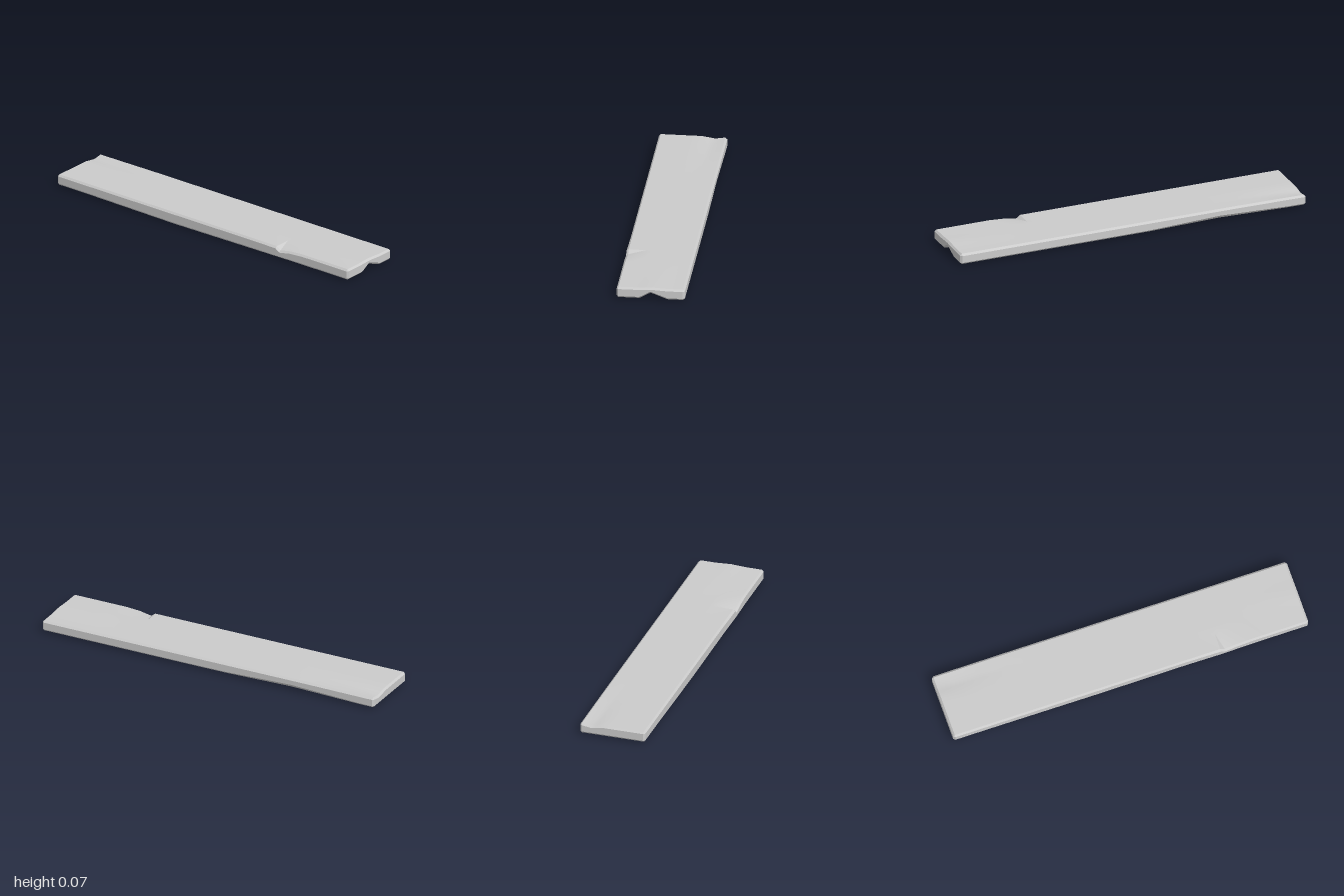
import * as THREE from 'three';
import { toCreasedNormals } from 'three/addons/utils/BufferGeometryUtils.js';

const { lerp, clamp } = THREE.MathUtils;
const tent = (v, lo, mid, hi) => Math.max(0, v < mid ? (v - lo) / (mid - lo) : (hi - v) / (hi - mid));

const CHAMFER = 0.01, EDGE = 0.173;
const stations = [-0.99, -0.9, -0.75, -0.6, -0.5, -0.35, -0.2, -0.1, 0.1, 0.3, 0.42, 0.505, 0.53, 0.6, 0.68, 0.75, 0.87, 0.99];
const topColumns = [-EDGE, -0.08, -0.045, 0, 0.05, 0.09, 0.12, EDGE];

// Wear along the plank, as height or width offsets
const edgeNick = z => z < 0.53 ? 0.018 * tent(z, 0.505, 0.53, 0.56) : 0.018 * Math.max(0, (0.68 - z) / 0.15) ** 2;
const sideWear = z => tent(z, -0.92, -0.5, -0.08);

function topHeight(x, z) {
  const swell = 0.005 * tent(x, -0.09, 0, 0.09) * clamp((z - 0.72) / 0.27, 0, 1);
  const endDip = 0.011 * tent(x, 0.05, 0.12, EDGE + 0.015) * clamp((-0.6 - z) / 0.39, 0, 1);
  const nick = edgeNick(z) * clamp((-0.08 - x) / 0.093, 0, 1);
  return 0.067 + swell - endDip - nick;
}

// Bottom edge points; the middle three form a groove that opens to the front
function bottomPoints(z) {
  const t = clamp((z - 0.3) / 0.69, 0, 1);
  const sag = 0.007 * tent(z, -0.8, -0.2, 0.6);
  const wear = 0.01 * sideWear(z);
  return [
    [-EDGE, 0.007 - sag], [-0.1, 0.007 - sag * 0.35],
    [lerp(0.005, -0.06, t), 0.007], [lerp(0.015, 0, t), 0.007 + 0.034 * t], [lerp(0.025, 0.09, t), 0.007],
    [0.105, 0.007], [0.135, 0.007 + wear * 0.3], [EDGE, 0.007 + wear],
  ];
}

// One closed cross-section: bottom, right side, top, left side
function ring(z, isEnd) {
  const inset = isEnd ? CHAMFER : 0;
  const zz = clamp(z, -0.99, 0.99);
  const bottom = bottomPoints(zz);
  const left = isEnd ? -EDGE : -0.182 - 0.003 * tent(zz, 0.32, 0.52, 0.7);
  const right = isEnd ? EDGE : 0.184;
  const wear = isEnd ? 0 : 0.005 * sideWear(zz);
  const points = bottom.map(([x, y]) => [x, y + inset]);
  points.push([right, bottom[7][1] + CHAMFER + wear], [right, topHeight(EDGE, zz) - CHAMFER]);
  for (const x of [...topColumns].reverse()) points.push([x, topHeight(x, zz) - inset]);
  points.push([left, topHeight(-EDGE, zz) - CHAMFER], [left, bottom[0][1] + CHAMFER]);
  return points.map(([x, y]) => new THREE.Vector3(x, y, z));
}

function plankGeometry() {
  const rings = [ring(-1, true), ...stations.map(z => ring(z, false)), ring(1, true)];
  const positions = [];
  const triangle = (a, b, c) => {
    if (new THREE.Triangle(a, b, c).getArea() < 1e-9) return;
    for (const p of [a, b, c]) positions.push(p.x, p.y, p.z);
  };
  const quad = (a, b, c, d) => { triangle(a, b, c); triangle(a, c, d); };
  const n = rings[0].length;

  // Long surfaces
  for (let s = 0; s < rings.length - 1; s++) {
    const a = rings[s], b = rings[s + 1];
    for (let i = 0; i < n; i++) {
      const j = (i + 1) % n;
      quad(a[i], a[j], b[j], b[i]);
    }
  }
  // End faces, joining bottom points to the top points above them
  const back = rings[0], front = rings[rings.length - 1];
  for (let i = 0; i < 7; i++) {
    const u = 17 - i;
    quad(front[i], front[i + 1], front[u - 1], front[u]);
    quad(back[i + 1], back[i], back[u], back[u - 1]);
  }
  const geometry = new THREE.BufferGeometry();
  geometry.setAttribute('position', new THREE.Float32BufferAttribute(positions, 3));
  return toCreasedNormals(geometry, 0.4);
}

export function createModel() {
  const model = new THREE.Group();
  model.name = 'woodenPlank';
  const plank = new THREE.Mesh(plankGeometry(), new THREE.MeshStandardMaterial({ color: 0xcccccc }));
  plank.name = 'plank';
  model.add(plank);
  return model;
}
